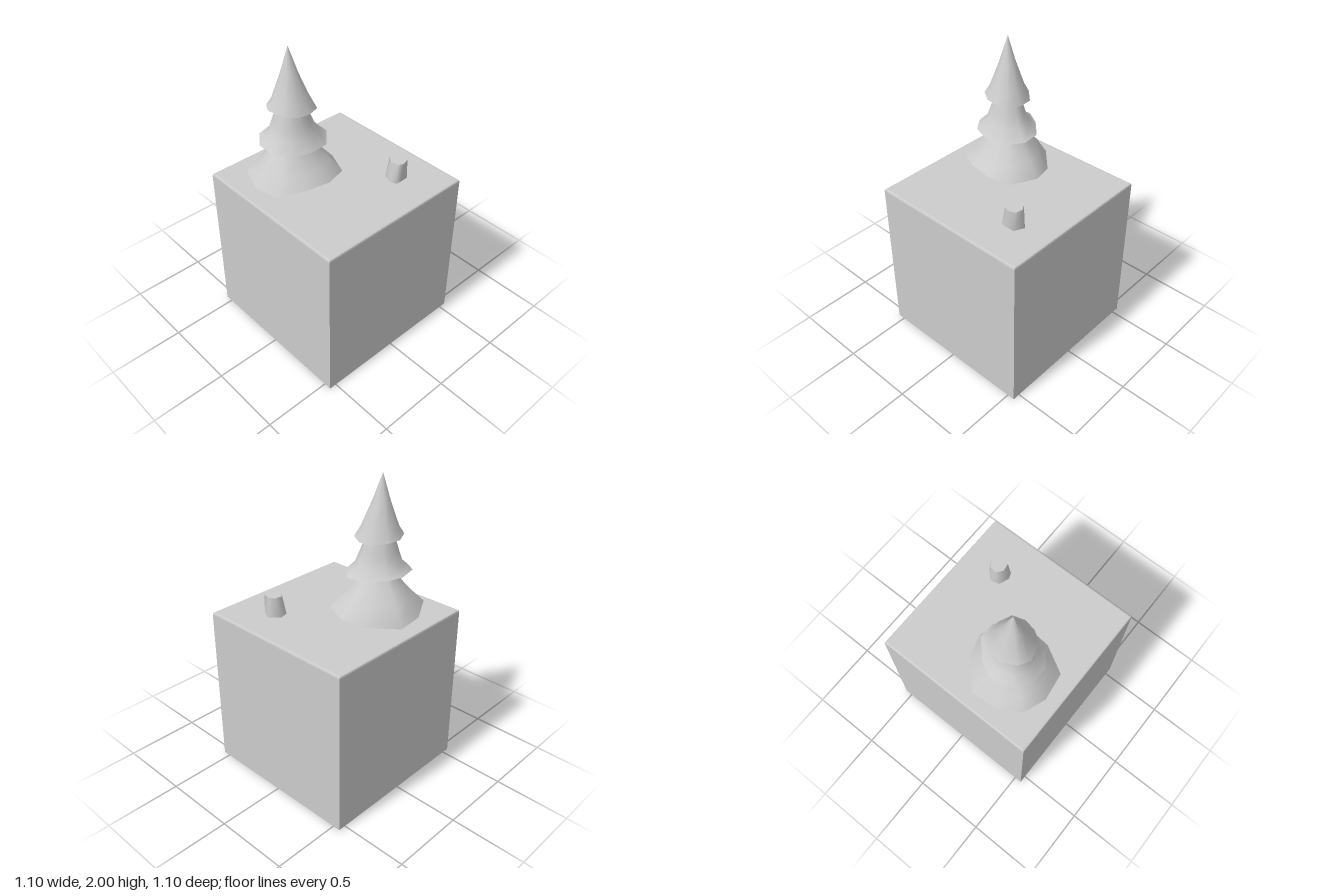
import * as THREE from 'three';

const grey = new THREE.MeshStandardMaterial({ color: 0xcccccc });
const thin = new THREE.MeshStandardMaterial({ color: 0xcccccc, side: THREE.DoubleSide });

// Skins a stack of equal-length closed rings of [x, y, z] points, listed bottom to top
function loft(rings, flat = false) {
  const n = rings[0].length;
  const index = [];
  for (let i = 0; i < rings.length - 1; i++) {
    for (let j = 0; j < n; j++) {
      const a = i * n + j, b = i * n + ((j + 1) % n);
      index.push(a, a + n, b, b, a + n, b + n);
    }
  }
  let geo = new THREE.BufferGeometry();
  geo.setAttribute('position', new THREE.Float32BufferAttribute(rings.flat(2), 3));
  geo.setIndex(index);
  if (flat) geo = geo.toNonIndexed();
  geo.computeVertexNormals();
  return geo;
}

function addMesh(parent, name, geo, material = grey) {
  const mesh = new THREE.Mesh(geo, material);
  mesh.name = name;
  parent.add(mesh);
}

const point = (ring, x, y, z) => ring.map(() => [x, y, z]);

// Ground block: crisp sides and a softly bevelled top edge
function createBlock() {
  const square = (half, y) => [[-half, y, -half], [half, y, -half], [half, y, half], [-half, y, half]];
  const rings = [square(0, 0), square(0.55, 0), square(0.55, 1.088), square(0.547, 1.097),
    square(0.538, 1.1), square(0, 1.1)];
  return loft(rings, true);
}

// Ragged hem of each branch tier [x, y, z], and [shrink, height] of the rings above it
const tiers = [
  {
    name: 'lowerBranches',
    hem: [[-0.147, 1.135, -0.11], [0.02, 1.14, -0.04], [0.068, 1.15, 0.108], [0.05, 1.16, 0.265],
      [-0.04, 1.135, 0.435], [-0.22, 1.125, 0.46], [-0.37, 1.155, 0.41], [-0.45, 1.12, 0.26],
      [-0.46, 1.11, 0.085], [-0.295, 1.12, -0.07]],
    levels: [[0.75, 1.225], [0.54, 1.29], [0.31, 1.38], [0.2, 1.45]],
  },
  {
    name: 'middleBranches',
    hem: [[-0.225, 1.39, -0.03], [-0.115, 1.38, -0.03], [-0.01, 1.37, 0.065], [-0.003, 1.37, 0.19],
      [-0.04, 1.375, 0.31], [-0.135, 1.375, 0.377], [-0.26, 1.38, 0.377], [-0.347, 1.395, 0.31],
      [-0.385, 1.4, 0.167], [-0.335, 1.39, 0.075]],
    levels: [[0.71, 1.435], [0.56, 1.52], [0.41, 1.615], [0.28, 1.7]],
  },
  {
    name: 'topBranches',
    hem: [[-0.235, 1.6, 0.04], [-0.147, 1.595, 0.04], [-0.07, 1.605, 0.08], [-0.047, 1.605, 0.155],
      [-0.06, 1.605, 0.23], [-0.105, 1.615, 0.3], [-0.218, 1.625, 0.332], [-0.285, 1.62, 0.29],
      [-0.33, 1.615, 0.197], [-0.31, 1.61, 0.115]],
    levels: [[0.77, 1.67], [0.36, 1.83], [0, 2]],
  },
];

function createTree() {
  const tree = new THREE.Group();
  tree.name = 'tree';
  const cx = -0.193, cz = 0.185;
  const shrink = (hem, f, y) => hem.map(([x, , z]) => [cx + (x - cx) * f, y, cz + (z - cz) * f]);
  for (const { name, hem, levels } of tiers) {
    const rings = [hem, ...levels.map(([f, y]) => shrink(hem, f, y))];
    addMesh(tree, name, loft(rings), thin);
    // Slightly hollow underside
    const y = hem[0][1] + 0.03;
    addMesh(tree, name + 'Underside', loft([point(hem, cx, y, cz), shrink(hem, 0.5, y), hem]), thin);
  }
  return tree;
}

// Seven-sided leaning stump
function createStump() {
  const stump = new THREE.Group();
  stump.name = 'stump';
  const ring = (y, xz) => xz.map(([x, z]) => [x, y, z]);
  const base = ring(1.1, [[0.245, -0.355], [0.31, -0.325], [0.312, -0.27], [0.31, -0.23],
    [0.27, -0.215], [0.203, -0.24], [0.187, -0.3]]);
  const rim = ring(1.23, [[0.25, -0.34], [0.3, -0.33], [0.317, -0.28], [0.3, -0.247],
    [0.247, -0.238], [0.206, -0.27], [0.215, -0.318]]);
  addMesh(stump, 'stumpSide', loft([base, rim]));
  addMesh(stump, 'stumpTop', loft([rim, point(rim, 0.262, 1.23, -0.288)]));
  return stump;
}

export function createModel() {
  const model = new THREE.Group();
  model.name = 'treeOnBlock';
  addMesh(model, 'groundBlock', createBlock());
  model.add(createTree(), createStump());
  return model;
}
